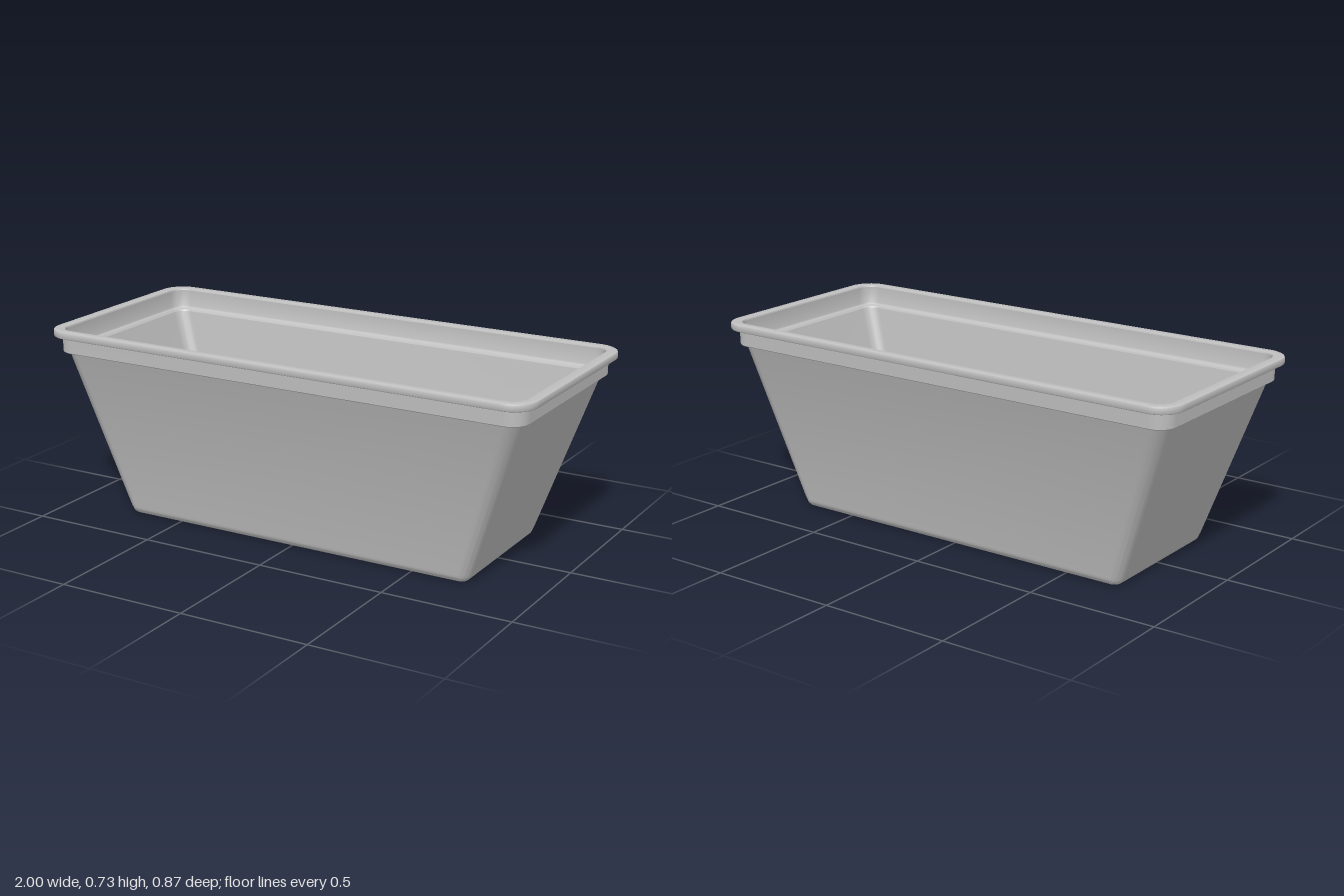
import * as THREE from 'three';
import { toCreasedNormals } from 'three/addons/utils/BufferGeometryUtils.js';

const CORNER_STEPS = 8;

// Rounded rectangle in the xz plane, with a support point beside each corner
function ring({ hx, hz, y, r }) {
  const pts = [];
  const corners = [[1, 1], [-1, 1], [-1, -1], [1, -1]];
  corners.forEach(([sx, sz], q) => {
    const cx = sx * (hx - r), cz = sz * (hz - r);
    const a0 = q * Math.PI / 2, s = Math.min(0.004, r);
    const arc = [];
    for (let i = 0; i <= CORNER_STEPS; i++) {
      const a = a0 + i / CORNER_STEPS * Math.PI / 2;
      arc.push([cx + r * Math.cos(a), y, cz + r * Math.sin(a)]);
    }
    const first = arc[0], last = arc[CORNER_STEPS];
    pts.push([first[0] + s * Math.sin(a0), y, first[2] - s * Math.cos(a0)]);
    pts.push(...arc);
    pts.push([last[0] - s * Math.cos(a0), y, last[2] - s * Math.sin(a0)]);
  });
  return pts;
}

// Skin a list of sections; optional flat caps at the first or last section
function loft(sections, cap) {
  const rings = sections.map(ring);
  const n = rings[0].length, pos = [];
  const tri = (...p) => p.forEach(v => pos.push(...v));
  for (let k = 0; k < rings.length - 1; k++) {
    const a = rings[k], b = rings[k + 1];
    for (let i = 0; i < n; i++) {
      const j = (i + 1) % n;
      tri(a[i], b[i], a[j]);
      tri(a[j], b[i], b[j]);
    }
  }
  if (cap) {
    const edge = cap === 'start' ? rings[0] : rings[rings.length - 1];
    const centre = [0, edge[0][1], 0];
    for (let i = 0; i < n; i++) {
      const j = (i + 1) % n;
      if (cap === 'start') tri(centre, edge[i], edge[j]);
      else tri(edge[i], centre, edge[j]);
    }
  }
  const g = new THREE.BufferGeometry();
  g.setAttribute('position', new THREE.Float32BufferAttribute(pos, 3));
  return toCreasedNormals(g, 0.6);
}

const sec = (hx, hz, y, r) => ({ hx, hz, y, r });

// Sections of a quarter-round floor edge ending at the wall foot
function floorEdge(hx, hz, y, r, round) {
  const out = [sec(hx - round - 0.004, hz - round - 0.004, y, r - round)];
  for (let i = 0; i <= 6; i++) {
    const a = i / 6 * 1.3;
    const d = round * (1 - Math.sin(a));
    out.push(sec(hx - d, hz - d, y + round * (1 - Math.cos(a)), r - d));
  }
  return out;
}

export function createModel() {
  const model = new THREE.Group();
  const plastic = new THREE.MeshStandardMaterial({ color: 0xbfbfbf });
  plastic.name = 'greyPlastic';
  const add = (name, geometry) => {
    const mesh = new THREE.Mesh(geometry, plastic);
    mesh.name = name;
    model.add(mesh);
  };

  // Tapered outside of the tub with its underside
  add('outerTub', loft([
    ...floorEdge(0.733, 0.3, 0, 0.042, 0.034),
    sec(0.736, 0.301, 0.034, 0.042),
    sec(0.943, 0.387, 0.636, 0.056),
    sec(0.947, 0.391, 0.643, 0.058),
  ], 'start'));

  // Upright collar below the lip
  add('collar', loft([
    sec(0.947, 0.391, 0.643, 0.058),
    sec(0.964, 0.403, 0.643, 0.064),
    sec(0.967, 0.406, 0.646, 0.066),
    sec(0.968, 0.408, 0.705, 0.068),
  ]));

  // Rounded lip round the opening
  add('lip', loft([
    sec(0.968, 0.408, 0.705, 0.068),
    sec(0.994, 0.431, 0.705, 0.088),
    sec(0.998, 0.435, 0.707, 0.092),
    sec(1.0, 0.437, 0.711, 0.094),
    sec(1.0, 0.437, 0.728, 0.094),
    sec(0.998, 0.435, 0.732, 0.092),
    sec(0.994, 0.431, 0.734, 0.088),
    sec(0.964, 0.403, 0.734, 0.064),
    sec(0.959, 0.398, 0.732, 0.06),
    sec(0.957, 0.396, 0.727, 0.058),
  ]));

  // Upright inside wall and the small ledge under it
  add('innerCollar', loft([
    sec(0.957, 0.396, 0.727, 0.058),
    sec(0.956, 0.395, 0.662, 0.057),
    sec(0.953, 0.392, 0.656, 0.055),
    sec(0.947, 0.387, 0.653, 0.052),
    sec(0.94, 0.381, 0.65, 0.05),
    sec(0.936, 0.378, 0.644, 0.048),
  ]));

  // Tapered inside of the tub with its floor
  add('innerTub', loft([
    sec(0.936, 0.378, 0.644, 0.048),
    sec(0.934, 0.377, 0.638, 0.048),
    sec(0.728, 0.291, 0.04, 0.036),
    ...floorEdge(0.725, 0.29, 0.012, 0.035, 0.026).reverse(),
  ], 'end'));

  return model;
}
